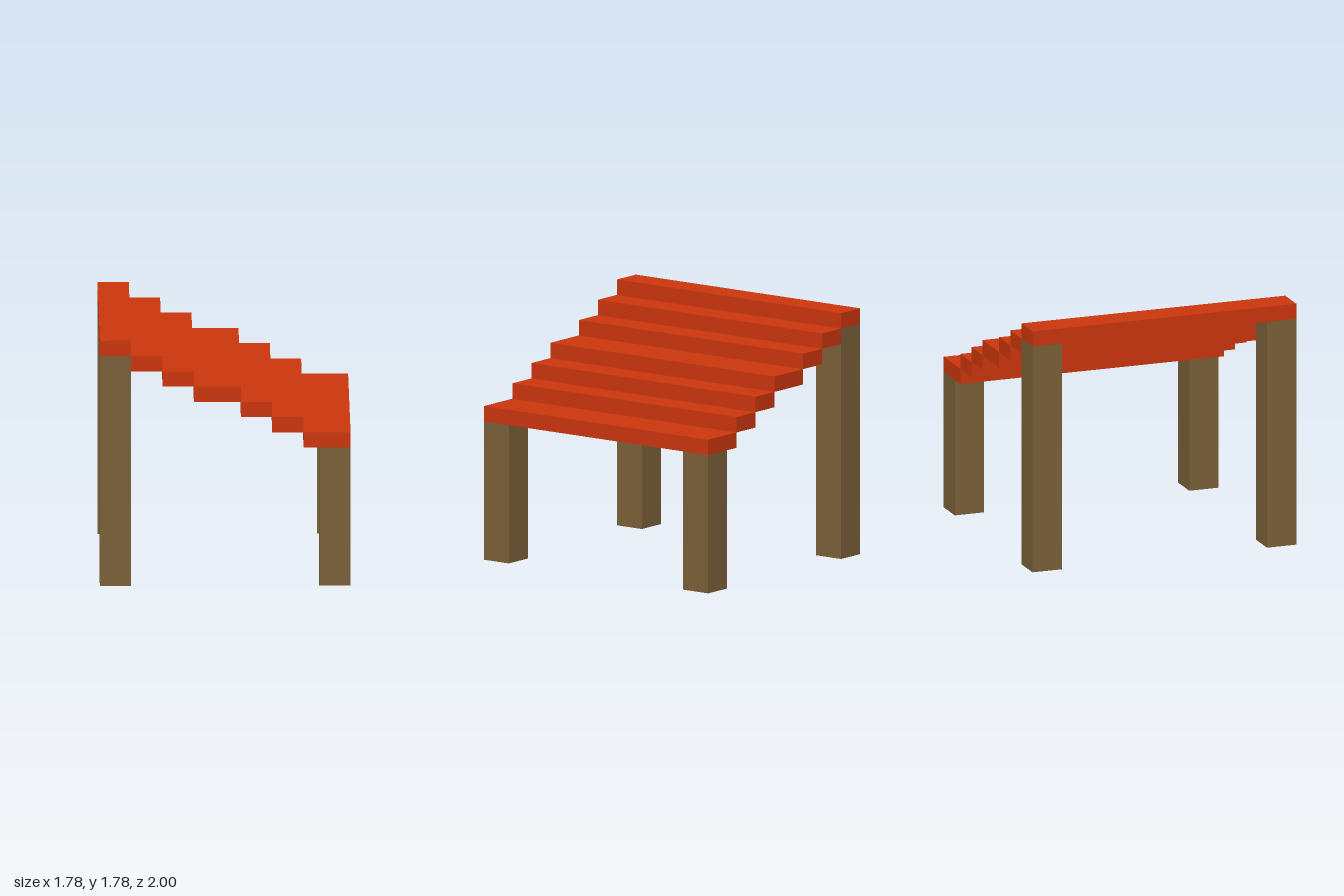
import * as THREE from 'three';

const U = 1 / 9; // grid unit: one board thickness

export function createModel() {
  const model = new THREE.Group();
  model.name = 'steppedCanopy';

  const red = new THREE.MeshStandardMaterial({ color: 0xcb350d });
  red.name = 'red roof';
  const wood = new THREE.MeshStandardMaterial({ color: 0x7a6039 });
  wood.name = 'brown wood';

  // Box given by its minimum and maximum corners in grid units
  function box(name, material, [x0, y0, z0], [x1, y1, z1]) {
    const geometry = new THREE.BoxGeometry((x1 - x0) * U, (y1 - y0) * U, (z1 - z0) * U);
    const mesh = new THREE.Mesh(geometry, material);
    mesh.position.set((x0 + x1) * U / 2, (y0 + y1) * U / 2, (z0 + z1) * U / 2);
    mesh.name = name;
    model.add(mesh);
  }

  // Roof boards, each one unit lower than the last from right to left
  const edges = [-8, -6, -4, -2, 1, 3, 5, 8];
  for (let i = 0; i < edges.length - 1; i++) {
    const top = 16 - i;
    box(`roofBoard${i + 1}`, red, [edges[i], top - 1, -9], [edges[i + 1], top, 9]);
  }

  // Square legs: a tall pair on the right, a short pair on the left
  for (const [end, z] of [['Front', 7], ['Back', -9]]) {
    box(`tallLeg${end}`, wood, [-8, 0, z], [-6, 15, z + 2]);
    box(`shortLeg${end}`, wood, [6, 0, z], [8, 9, z + 2]);
  }

  return model;
}
